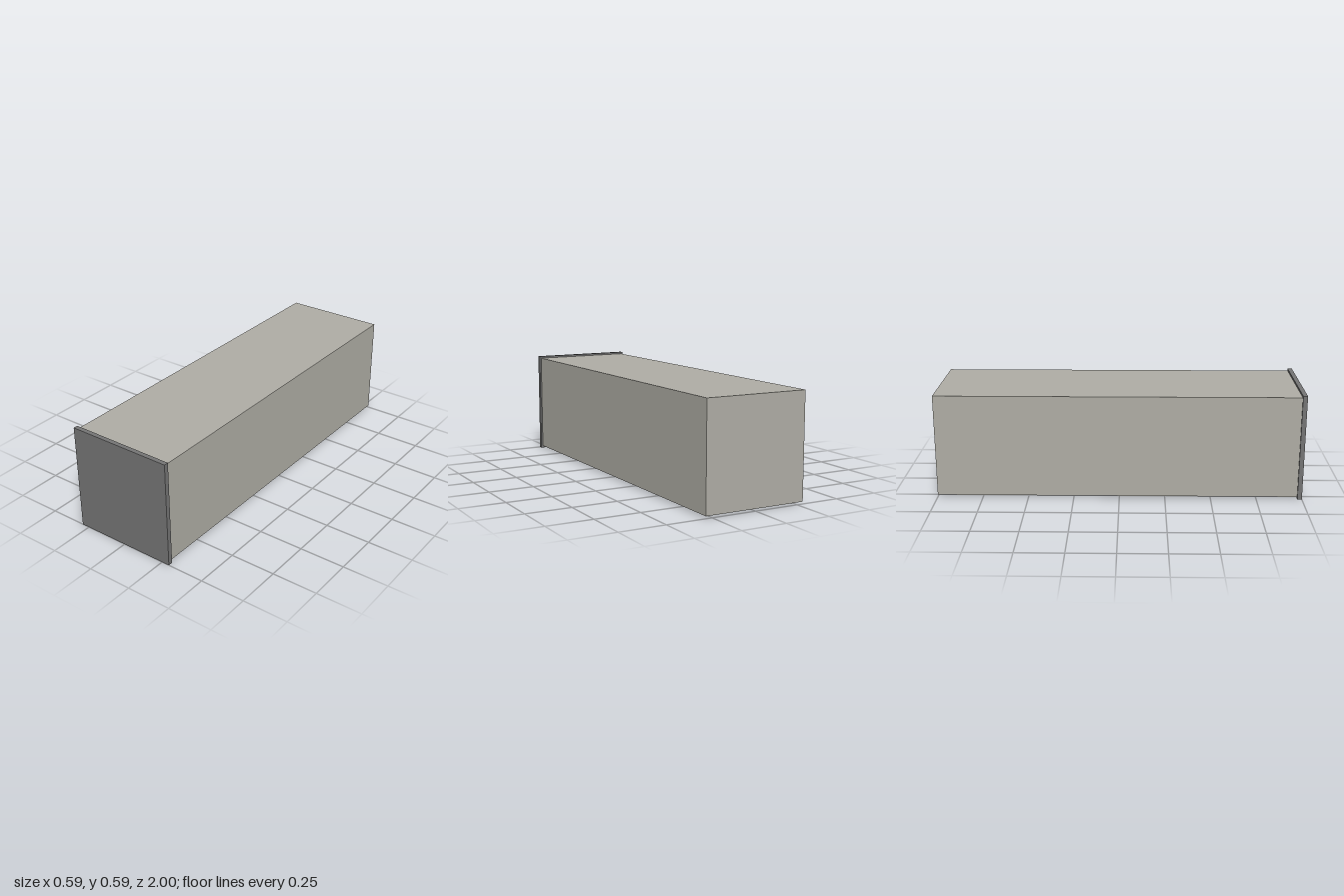
import * as THREE from 'three';

export function createModel() {
  const model = new THREE.Group();
  const mat = (name, color) => {
    const m = new THREE.MeshStandardMaterial({ color });
    m.name = name;
    return m;
  };
  const shell = mat('warm grey shell', 0xaeaca4);
  const panel = mat('dark grey panel', 0x747474);
  const slate = mat('slate blue pad', 0x587886);

  const box = (name, material, [w, h, d], [x, y, z], parent = model) => {
    const mesh = new THREE.Mesh(new THREE.BoxGeometry(w, h, d), material);
    mesh.name = name;
    mesh.position.set(x, y, z);
    parent.add(mesh);
  };

  // Long body with a slightly larger plate closing the front
  box('body', shell, [0.57, 0.565, 1.975], [0, 0.2945, -0.0125]);
  box('frontPanel', panel, [0.588, 0.588, 0.025], [0, 0.294, 0.9875]);

  // Three rows of nine thin square pads under the body
  const pads = new THREE.Group();
  pads.name = 'undersidePads';
  model.add(pads);
  for (let row = -1; row <= 1; row++) {
    for (let i = -4; i <= 4; i++) {
      box('pad', slate, [0.05, 0.006, 0.05], [row * 0.218, 0.01, i * 0.22], pads);
    }
  }
  return model;
}
